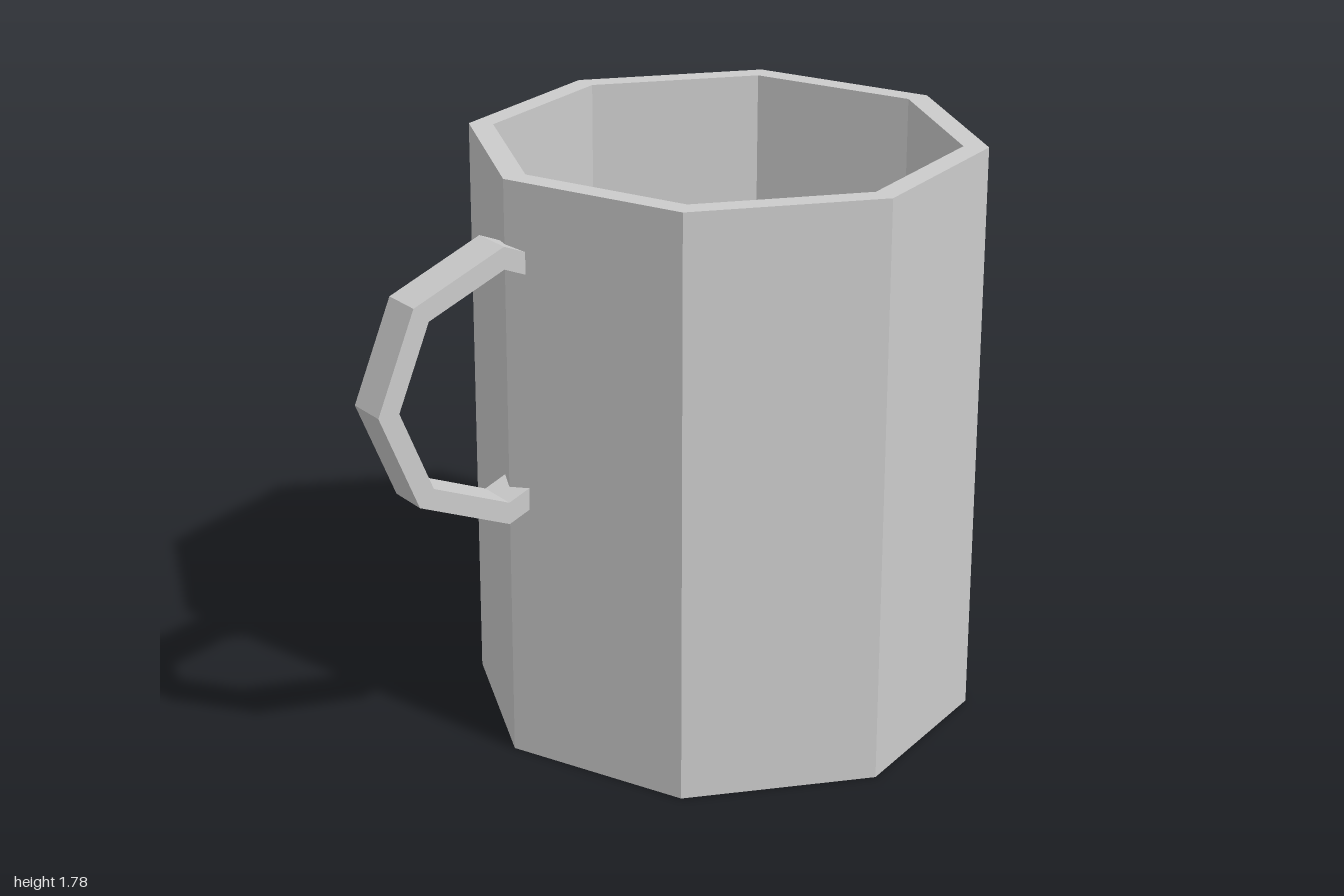
import * as THREE from 'three';

const material = new THREE.MeshStandardMaterial({ color: 0xcccccc, flatShading: true });

// Half-octagon arc in (z, y), top to bottom, with short stubs turning back to the wall
function handleArc(radius, centreZ, centreY, wallZ) {
  const points = [];
  for (let i = 0; i <= 4; i++) {
    const a = Math.PI / 2 - (i * Math.PI) / 4;
    points.push(new THREE.Vector2(centreZ + radius * Math.cos(a), centreY + radius * Math.sin(a)));
  }
  const stub = radius - (centreZ - wallZ) * Math.tan(Math.PI / 8);
  points.unshift(new THREE.Vector2(wallZ, centreY + stub));
  points.push(new THREE.Vector2(wallZ, centreY - stub));
  return points;
}

export function createModel() {
  const mug = new THREE.Group();
  mug.name = 'mug';

  // Eight-sided cup: outer wall, rim, inner wall and floor in one profile
  const outer = 0.769, inner = 0.695, height = 1.78, floor = 0.07;
  const profile = [
    [0, 0], [outer, 0], [outer, height], [inner, height], [inner, floor], [0, floor],
  ].map(([r, y]) => new THREE.Vector2(r, y));
  const cup = new THREE.Mesh(new THREE.LatheGeometry(profile, 8), material);
  cup.name = 'cup';
  cup.position.z = -0.231;
  mug.add(cup);

  // Angular handle at the front corner
  const width = 0.13;
  const outline = [
    ...handleArc(0.42, 0.58, 1.187, 0.51),
    ...handleArc(0.353, 0.58, 1.187, 0.51).reverse(),
  ];
  const handleGeometry = new THREE.ExtrudeGeometry(new THREE.Shape(outline), {
    depth: width, bevelEnabled: false,
  });
  handleGeometry.translate(0, 0, -width / 2).rotateY(-Math.PI / 2);
  const handle = new THREE.Mesh(handleGeometry, material);
  handle.name = 'handle';
  mug.add(handle);

  return mug;
}
